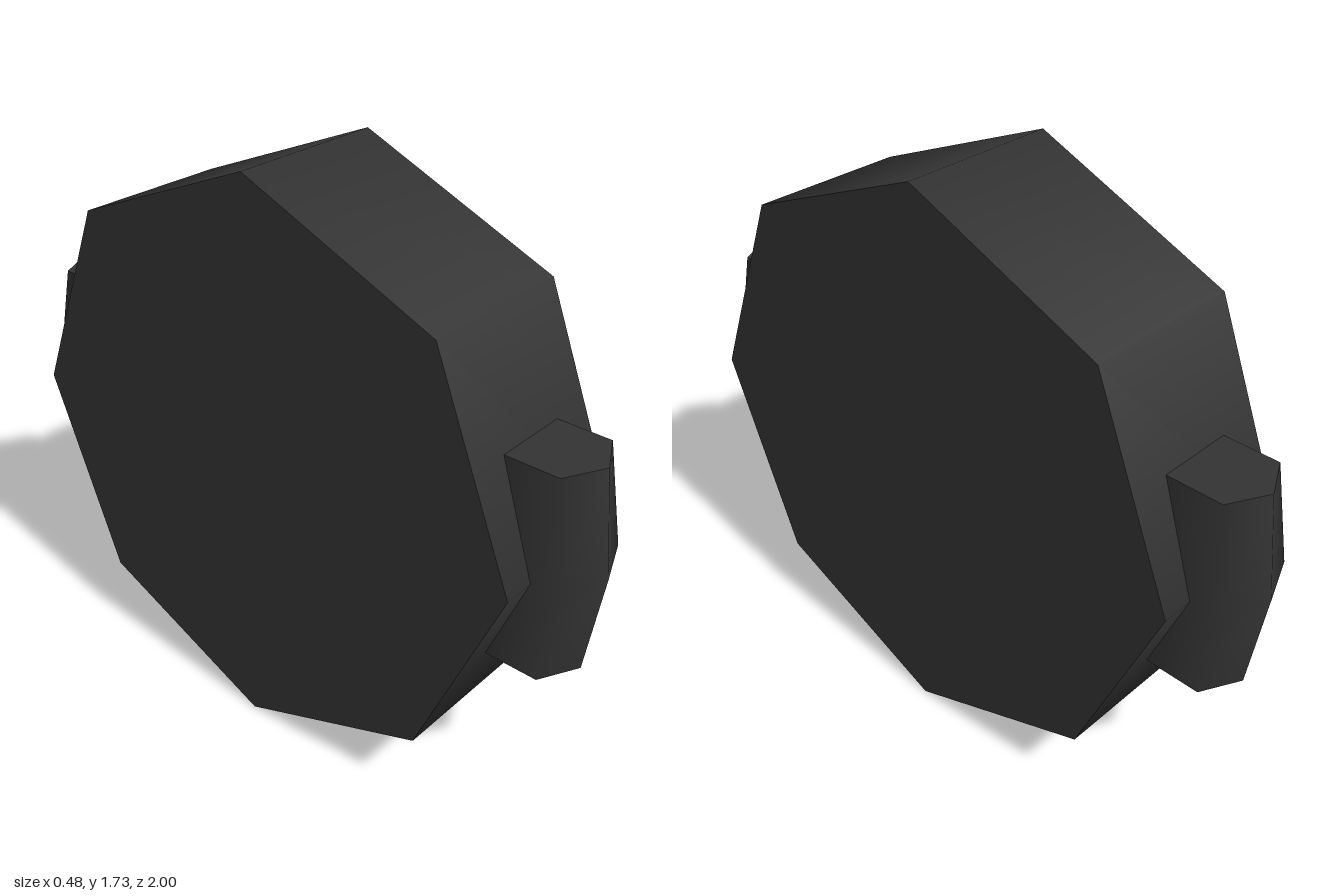
import * as THREE from 'three';

const CENTRE_Y = 0.865;

// Hexagonal block, widest and furthest out at its middle, lying against the rim
function lugGeometry() {
  const geo = new THREE.CylinderGeometry(1, 1, 0.61, 6, 2, false, Math.PI);
  const pos = geo.attributes.position;
  for (let i = 0; i < pos.count; i++) {
    const mid = Math.abs(pos.getY(i)) < 0.01;
    const x = pos.getX(i) / Math.sin(Math.PI / 3);
    const z = pos.getZ(i);
    const tip = mid ? 1 : 0.96;
    const shoulder = mid ? 0.942 : 0.9;
    let depth = 0.82; // cap centre
    if (z > 0.9) depth = tip;
    else if (z > 0.1) depth = shoulder;
    else if (z < -0.9) depth = 0.62;
    else if (z < -0.1) depth = 0.68;
    pos.setX(i, x * (mid ? 0.145 : 0.117));
    pos.setZ(i, depth);
  }
  geo.computeVertexNormals();
  return geo;
}

export function createModel() {
  const model = new THREE.Group();
  const charcoal = new THREE.MeshStandardMaterial({ color: 0x333333 });
  charcoal.name = 'charcoal';

  // Eight-sided wheel with its axle along x
  const wheel = new THREE.Mesh(new THREE.CylinderGeometry(0.865, 0.865, 0.484, 8), charcoal);
  wheel.name = 'wheel';
  wheel.rotation.z = Math.PI / 2;
  wheel.position.set(0, CENTRE_Y, 0.004);
  model.add(wheel);

  // Lugs on the front and back of the rim
  const geo = lugGeometry();
  for (const [name, turn] of [['frontLug', 0], ['backLug', Math.PI]]) {
    const lug = new THREE.Mesh(geo, charcoal);
    lug.name = name;
    lug.rotation.y = turn;
    lug.position.y = CENTRE_Y;
    model.add(lug);
  }
  return model;
}
